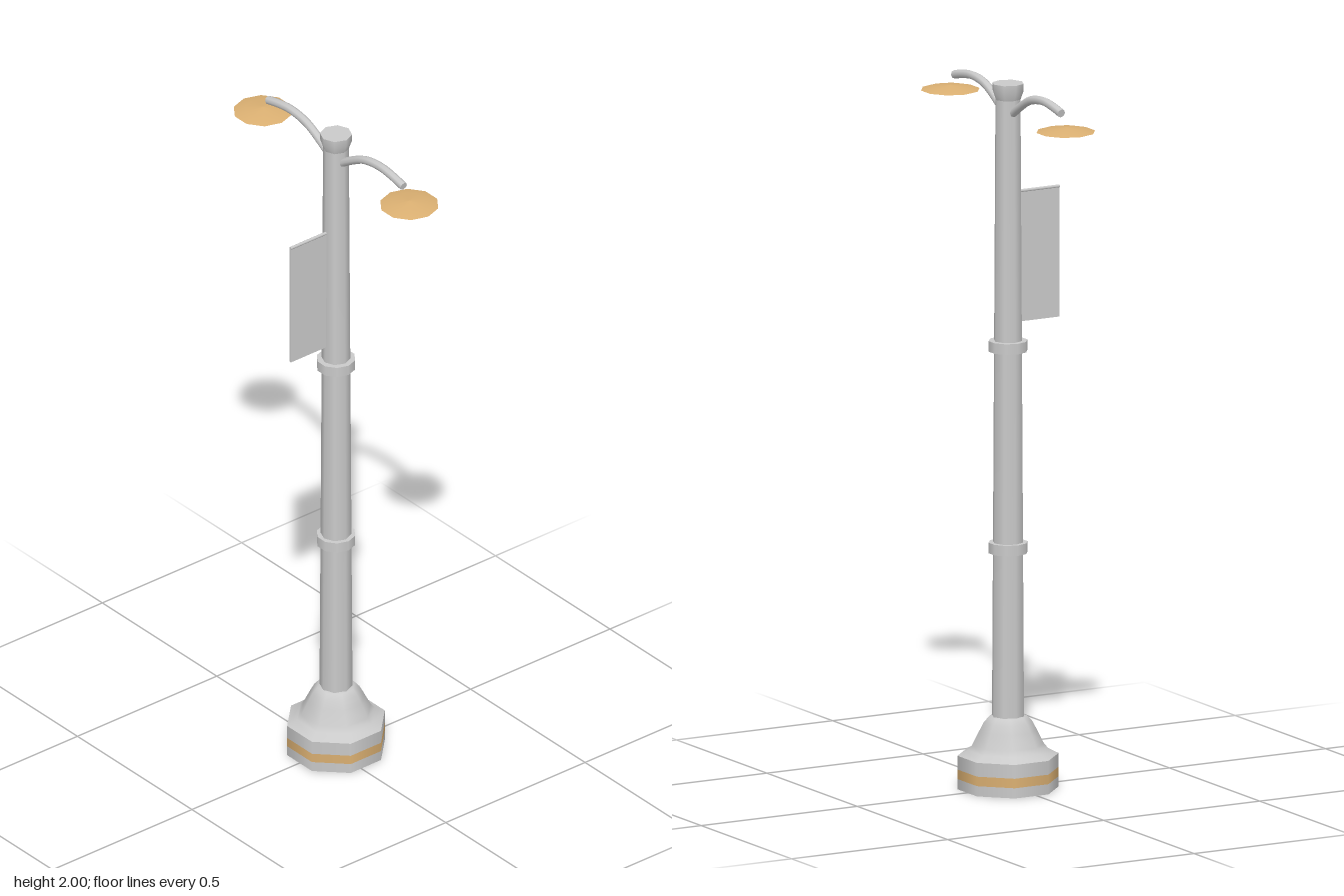
import * as THREE from 'three';

const mat = (name, color, side = THREE.FrontSide) => {
  const m = new THREE.MeshStandardMaterial({ color, side });
  m.name = name;
  return m;
};

export function createModel() {
  const grey = mat('light grey metal', 0xcacaca);
  const amber = mat('warm amber', 0xdbb072);

  const model = new THREE.Group();
  model.name = 'streetLamp';
  const post = new THREE.Group();
  post.name = 'post';
  post.position.z = -0.017;
  model.add(post);

  const add = (name, geometry, material, parent = post) => {
    const mesh = new THREE.Mesh(geometry, material);
    mesh.name = name;
    parent.add(mesh);
    return mesh;
  };
  // Turned part from [radius, height] pairs, listed bottom to top
  const turned = (name, points, material, sides, turn = 0, parent = post) => {
    const profile = points.map(([r, y]) => new THREE.Vector2(r, y));
    const mesh = add(name, new THREE.LatheGeometry(profile, sides), material, parent);
    mesh.rotation.y = turn;
    return mesh;
  };

  // Octagonal base with its flats facing the axes
  const flat = Math.PI / 8;
  const R = 0.1415;
  turned('baseBottom', [[0, 0], [R, 0]], grey, 8, flat);
  turned('baseLowerWall', [[R, 0], [R, 0.029]], grey, 8, flat);
  turned('baseStripe', [[R, 0.029], [R, 0.056]], amber, 8, flat);
  turned('baseUpperWall', [[R, 0.056], [R, 0.095]], grey, 8, flat);
  turned('baseShoulder', [[R, 0.095], [0.112, 0.11], [0.1, 0.125], [0.08, 0.165],
    [0.068, 0.188], [0.054, 0.204], [0.04, 0.206]], grey, 8, flat);

  // Tapering pole with a flared cap
  turned('pole', [[0.046, 0.19], [0.036, 1.955]], grey, 8);
  turned('capFlare', [[0.036, 1.955], [0.044, 1.978], [0.045, 2]], grey, 8);
  turned('capTop', [[0.045, 2], [0, 2]], grey, 8);

  // Two collars around the pole
  for (const y of [0.683, 1.255]) {
    const collar = add('collar', new THREE.CylinderGeometry(0.055, 0.055, 0.03, 10), grey);
    collar.position.y = y;
    collar.rotation.y = Math.PI / 2;
  }

  // Curved arms with shallow lamp discs below their tips
  for (const side of [1, -1]) {
    const path = new THREE.CatmullRomCurve3([
      [0.015, 1.91], [0.06, 1.94], [0.125, 1.974], [0.195, 1.985], [0.25, 1.979], [0.295, 1.969],
    ].map(([x, y]) => new THREE.Vector3(side * x, y, 0)));
    add(side > 0 ? 'leftArm' : 'rightArm', new THREE.TubeGeometry(path, 14, 0.012, 8), grey);

    // End disc closing the arm
    const tip = add('armTip', new THREE.CircleGeometry(0.012, 8), grey);
    tip.position.copy(path.getPoint(1));
    tip.lookAt(path.getPoint(1).add(path.getTangent(1)));

    const lamp = new THREE.Group();
    lamp.name = side > 0 ? 'leftLamp' : 'rightLamp';
    lamp.position.set(side * 0.32, 1.922, 0);
    post.add(lamp);
    const turn = Math.PI / 2;
    turned('lampUnderside', [[0, 0], [0.083, 0]], amber, 10, turn, lamp);
    turned('lampShade', [[0.083, 0], [0.05, 0.008], [0, 0.013]], amber, 10, turn, lamp);
  }

  // Banner panel hanging forward of the pole from a thin rod
  const panel = add('bannerPanel', new THREE.BoxGeometry(0.006, 0.37, 0.128), grey, model);
  panel.position.set(0, 1.505, 0.083);
  const rod = add('bannerRod', new THREE.CylinderGeometry(0.0045, 0.0045, 0.137, 8), grey, model);
  rod.rotation.x = Math.PI / 2;
  rod.position.set(0, 1.69, 0.0785);

  return model;
}
